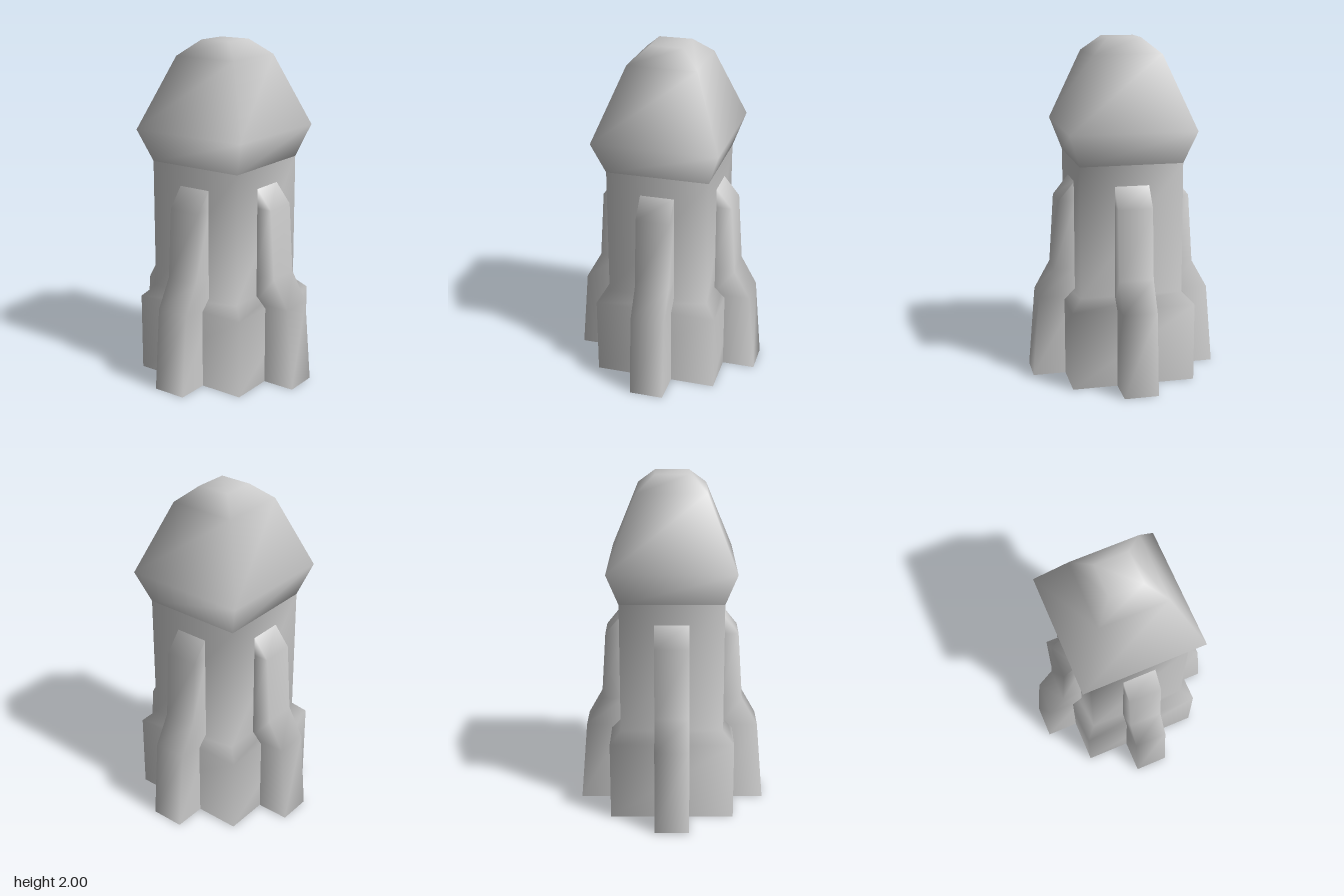
import * as THREE from 'three';

const material = new THREE.MeshStandardMaterial({ color: 0xcccccc, side: THREE.DoubleSide });

// Skins a stack of four-point cross-sections, with shared smooth normals.
function loft(name, rings, closed, capTop = false) {
  const index = [];
  const sides = closed ? 4 : 3;
  for (let i = 0; i < rings.length - 1; i++) {
    for (let j = 0; j < sides; j++) {
      const a = i * 4 + j, b = i * 4 + (j + 1) % 4;
      index.push(a, b, b + 4, a, b + 4, a + 4);
    }
  }
  if (capTop) {
    const t = (rings.length - 1) * 4;
    index.push(t, t + 1, t + 2, t, t + 2, t + 3);
  }
  const geometry = new THREE.BufferGeometry();
  geometry.setAttribute('position', new THREE.Float32BufferAttribute(rings.flat(2), 3));
  geometry.setIndex(index);
  geometry.computeVertexNormals();
  const mesh = new THREE.Mesh(geometry, material);
  mesh.name = name;
  return mesh;
}

// Square section of half-width r at height y.
const square = ([r, y]) => [[-r, y, r], [r, y, r], [r, y, -r], [-r, y, -r]];

// Three-sided fin section reaching out to z = r at height y.
const finSection = ([r, y]) => [[-0.1, y, 0.29], [-0.1, y, r], [0.1, y, r], [0.1, y, 0.29]];

export function createModel() {
  const model = new THREE.Group();
  model.name = 'rocket';

  // Hollow square body with a flared base
  const bodyProfile = [[0.363, 0], [0.363, 0.465], [0.3, 0.53], [0.3, 1.3]];
  model.add(loft('body', bodyProfile.map(square), true));

  // Faceted nose with a flat tip
  const noseProfile = [[0.3, 1.3], [0.367, 1.49], [0.2, 1.91], [0.097, 2]];
  model.add(loft('nose', noseProfile.map(square), true, true));

  // Four stepped fins, open underneath and against the body
  const finProfile = [[0.557, 0], [0.515, 0.485], [0.42, 0.655], [0.392, 1.065], [0.3, 1.18]];
  ['frontFin', 'leftFin', 'backFin', 'rightFin'].forEach((name, i) => {
    const fin = loft(name, finProfile.map(finSection), false);
    fin.rotation.y = i * Math.PI / 2;
    model.add(fin);
  });

  return model;
}
